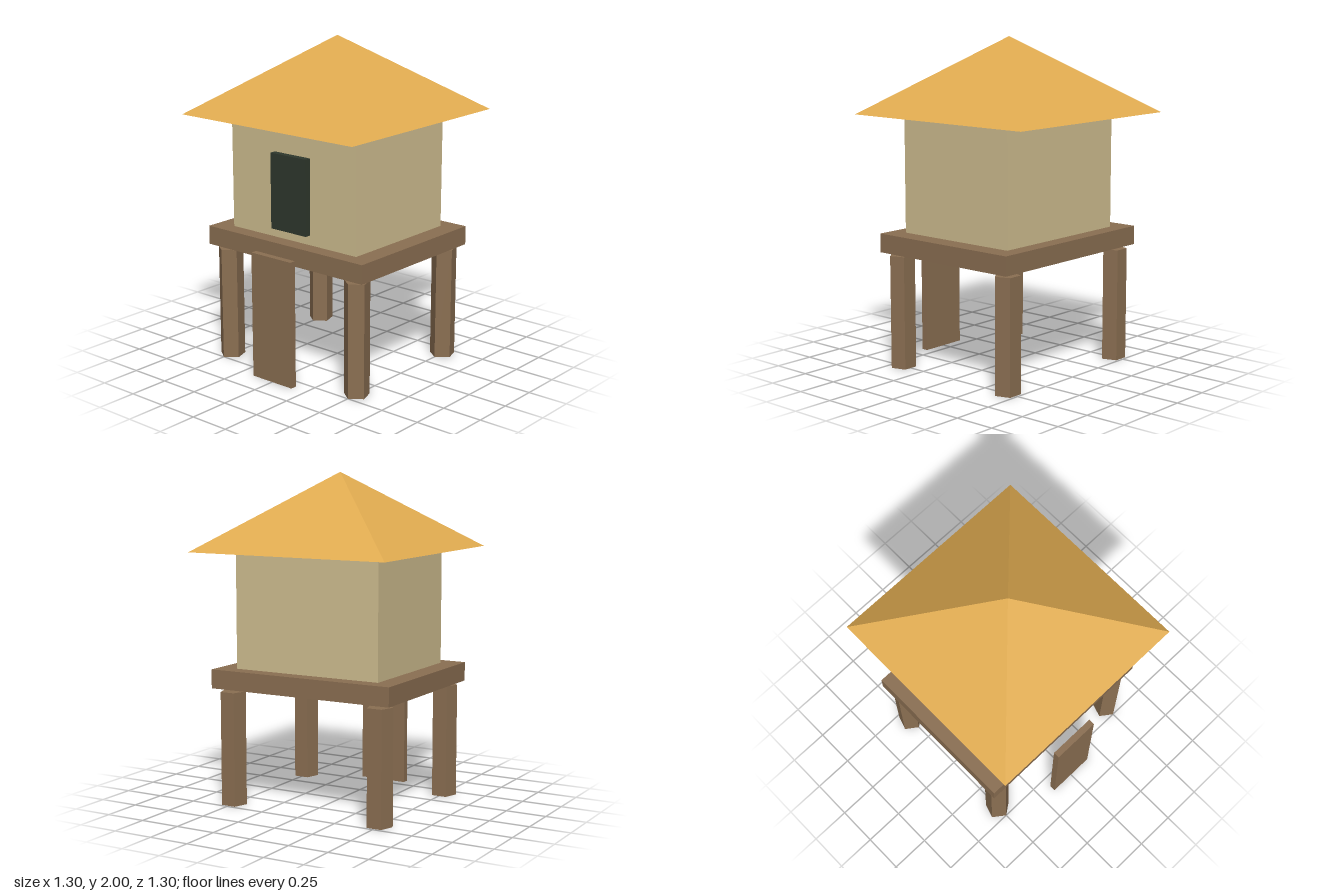
import * as THREE from 'three';

const material = (color) => new THREE.MeshStandardMaterial({ color, flatShading: true });

export function createModel() {
  const hut = new THREE.Group();
  hut.name = 'stiltHut';

  const wood = material(0x8b6f52);
  const plaster = material(0xd0be90);
  const thatch = material(0xe0ab50);
  const dark = material(0x2f382d);

  const add = (name, geometry, mat, x, y, z) => {
    const mesh = new THREE.Mesh(geometry, mat);
    mesh.name = name;
    mesh.position.set(x, y, z);
    hut.add(mesh);
    return mesh;
  };

  // Box given by its size, bottom height and centre depth
  const box = (name, mat, w, h, d, bottom, z = 0) =>
    add(name, new THREE.BoxGeometry(w, h, d), mat, 0, bottom + h / 2, z);

  // Five-sided stilts, stopping just short of the deck
  const stiltHeight = 0.695;
  const stilt = new THREE.CylinderGeometry(0.079, 0.079, stiltHeight, 5);
  for (const [xName, x] of [['Left', 0.5], ['Right', -0.5]]) {
    for (const [zName, z] of [['front', 0.421], ['back', -0.421]]) {
      add(`${zName}${xName}Stilt`, stilt, wood, x, stiltHeight / 2, z);
    }
  }

  // Deck, walls and door
  box('deck', wood, 1.2, 0.115, 1.0, 0.715);
  box('walls', plaster, 0.96, 0.71, 0.81, 0.83);
  box('door', dark, 0.27, 0.46, 0.05, 0.89, 0.42);

  // Upright entrance board in front of the deck
  box('entranceBoard', wood, 0.305, 0.775, 0.04, 0, 0.58);

  // Square pyramid roof, closed underneath
  const roof = new THREE.ConeGeometry(0.65 * Math.SQRT2, 0.46, 4);
  roof.rotateY(Math.PI / 4);
  add('roof', roof, thatch, 0, 1.77, 0);

  return hut;
}
